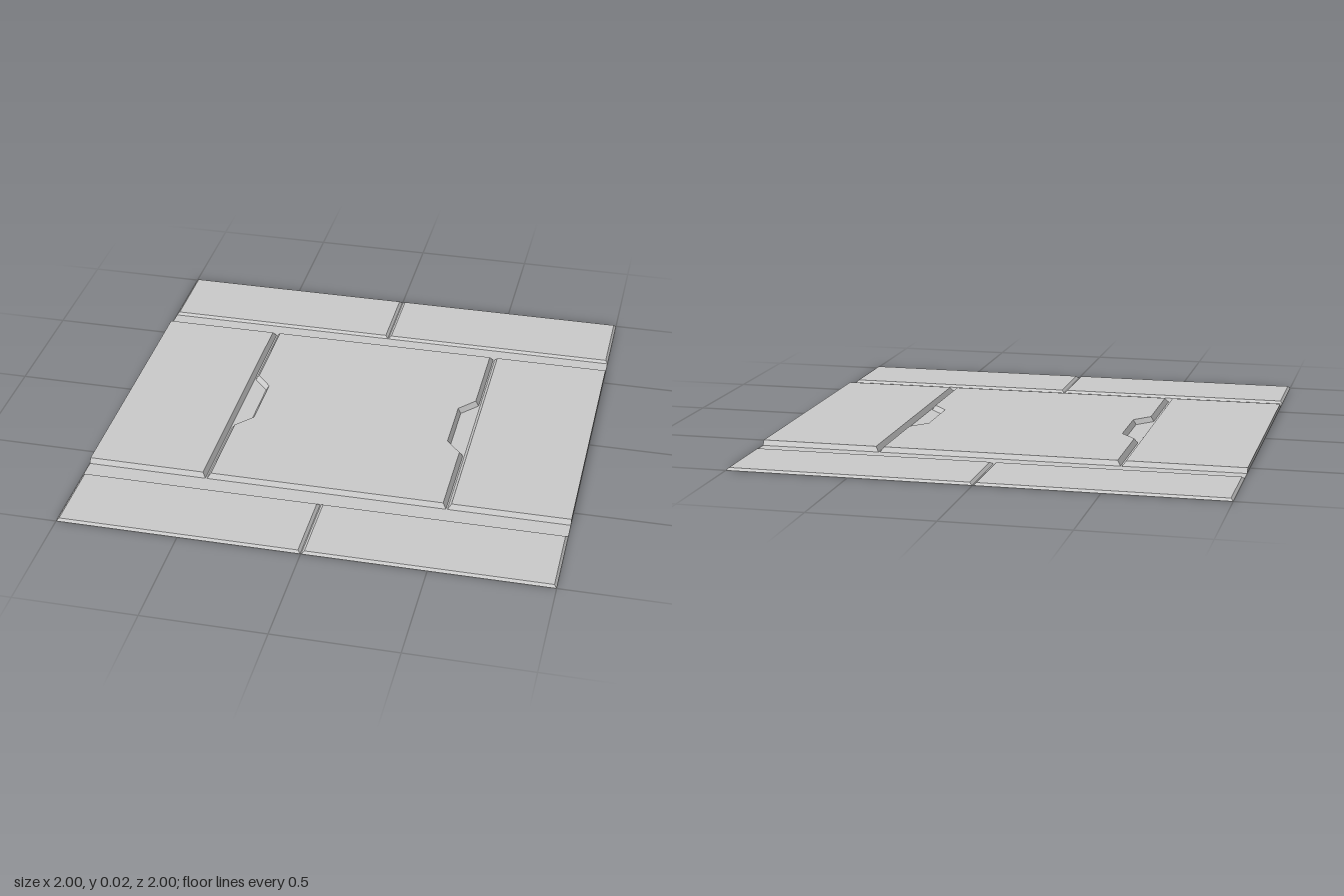
import * as THREE from 'three';

const material = new THREE.MeshStandardMaterial({
  color: 0xcccccc, flatShading: true, side: THREE.DoubleSide,
});

// Outlines are counter-clockwise [x, -z] points
const rect = (x0, x1, y0, y1) => [[x0, y0], [x1, y0], [x1, y1], [x0, y1]];

const addMesh = (group, name, geometry) => {
  const mesh = new THREE.Mesh(geometry.rotateX(-Math.PI / 2), material);
  mesh.name = name;
  group.add(mesh);
};

const flat = (outline) =>
  new THREE.ShapeGeometry(new THREE.Shape(outline.map(([x, y]) => new THREE.Vector2(x, y))));

// Raised plate, open below: sloping rim from the lower to the upper outline, plus a flat top
function addPlate(group, name, lower, upper, height) {
  const plate = new THREE.Group();
  plate.name = name;
  const positions = [];
  lower.forEach((a, i) => {
    const j = (i + 1) % lower.length;
    const p = [...a, 0], q = [...lower[j], 0];
    const r = [...upper[j], height], s = [...upper[i], height];
    positions.push(...p, ...q, ...r, ...p, ...r, ...s);
  });
  const rim = new THREE.BufferGeometry();
  rim.setAttribute('position', new THREE.Float32BufferAttribute(positions, 3));
  rim.computeVertexNormals();
  addMesh(plate, name + 'Rim', rim);
  addMesh(plate, name + 'Top', flat(upper).translate(0, 0, height));
  group.add(plate);
}

// Middle plate outline with a tapered notch in each long side
function notched(x, y, notchX, notchY, notchInnerY) {
  const side = [[x, -y], [x, -notchY], [notchX, -notchInnerY],
    [notchX, notchInnerY], [x, notchY], [x, y]];
  return [...side, ...side.map(([a, b]) => [-a, -b])];
}

export function createModel() {
  const group = new THREE.Group();
  group.name = 'floorTile';

  const midHeight = 0.02, stripHeight = 0.01;
  const midLow = 0.585, midHigh = 0.572; // half depth of the middle plates
  const gapLow = 0.003, gapHigh = 0.017; // half width of the long grooves
  const stripEdge = 0.663;

  // Middle plate
  addPlate(group, 'middlePlate',
    notched(0.5 - gapLow, midLow, 0.432, 0.196, 0.122),
    notched(0.5 - gapHigh, midHigh, 0.419, 0.202, 0.128), midHeight);

  for (const s of [-1, 1]) {
    const side = s > 0 ? 'left' : 'right';
    const spanX = (a, b) => (s > 0 ? [a, b] : [-b, -a]);

    // Side plates, cut straight at the outer edge
    addPlate(group, side + 'Plate',
      rect(...spanX(0.5 + gapLow, 1), -midLow, midLow),
      rect(...spanX(0.5 + gapHigh, 1), -midHigh, midHigh), midHeight);

    // Groove floor with the notch floor
    const floor = [[0.5 + gapLow, -midLow], [0.5 + gapLow, midLow], [0.5 - gapLow, midLow],
      [0.5 - gapLow, 0.196], [0.432, 0.122], [0.432, -0.122],
      [0.5 - gapLow, -0.196], [0.5 - gapLow, -midLow]].map(([x, y]) => [s * x, s * y]);
    addMesh(group, side + 'GrooveFloor', flat(floor));

    // Strips along the front and back, with a channel between them and the middle
    for (const t of [-1, 1]) {
      const end = t > 0 ? 'back' : 'front';
      const spanY = (a, b) => (t > 0 ? [a, b] : [-b, -a]);
      addPlate(group, end + (s > 0 ? 'Left' : 'Right') + 'Strip',
        rect(...spanX(0.002, 1), ...spanY(stripEdge, 1)),
        rect(...spanX(0.013, 0.99), ...spanY(0.675, 0.99)), stripHeight);
      if (s > 0) {
        addMesh(group, end + 'ChannelFloor', flat(rect(-1, 1, ...spanY(midLow, stripEdge))));
        addMesh(group, end + 'StripGrooveFloor', flat(rect(-0.002, 0.002, ...spanY(stripEdge, 1))));
      }
    }
  }
  return group;
}
